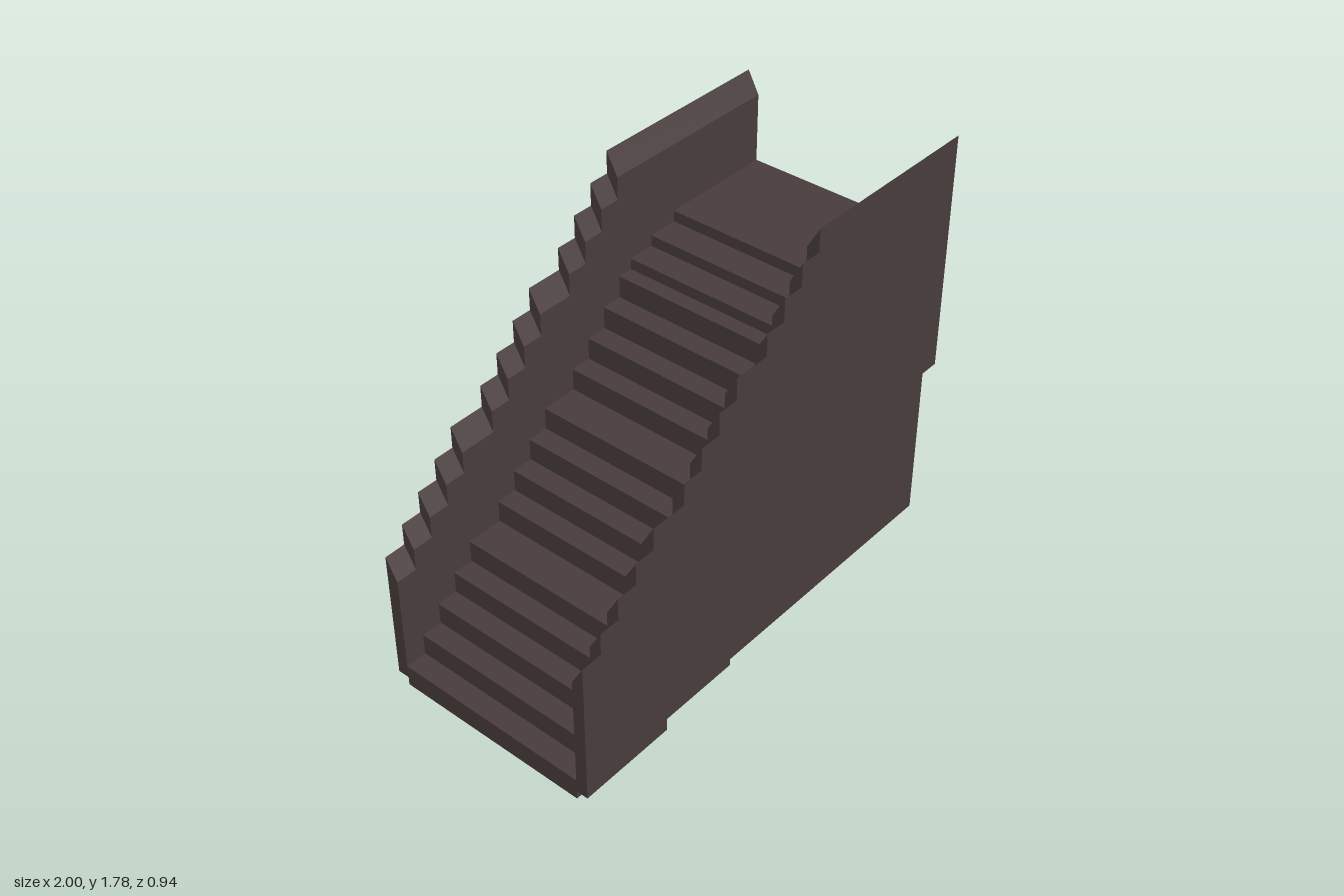
import * as THREE from 'three';

const INNER = 0.422; // half width of the stair core
const OUTER = 0.472; // outer face of the side walls
const RISE = 0.0925;

// x positions of the main risers: three flights of four steps
const RISERS = [];
for (let flight = 0; flight < 3; flight++) {
  for (const dx of [0.09, 0.178, 0.267, 0.355]) RISERS.push(-1 + flight * 0.42 + dx);
}

// Stepped outline climbing from x = -1, starting at height y
function steps(xs, y, rise) {
  const pts = [];
  for (const x of xs) {
    pts.push([x, y], [x, y + rise]);
    y += rise;
  }
  return pts;
}

function extrude(points, depth, z) {
  const shape = new THREE.Shape(points.map(([x, y]) => new THREE.Vector2(x, y)));
  const geo = new THREE.ExtrudeGeometry(shape, { depth, bevelEnabled: false });
  return geo.translate(0, 0, z);
}

// Side wall with a stepped top that slopes down towards the stairs
function wallGeometry(side, startY) {
  const outline = [
    [1, 0.78], [1, startY + 12 * RISE + 0.004],
    ...[[-1, startY], ...steps(RISERS, startY, RISE + 0.0003)].reverse(),
    [-1, 0.037], [-0.58, 0.037], [-0.58, 0.41], [-0.16, 0.41], [-0.16, 0.78],
  ];
  const geo = extrude(outline, OUTER - INNER, side > 0 ? INNER : -OUTER);
  const p = geo.attributes.position;
  for (let i = 0; i < p.count; i++) {
    const isTop = p.getY(i) > Math.min(1.2 + 0.9 * p.getX(i), 1.2);
    if (isTop && Math.abs(p.getZ(i)) < INNER + 0.01) p.setY(i, p.getY(i) - 0.09);
  }
  geo.computeVertexNormals();
  return geo;
}

export function createModel() {
  const group = new THREE.Group();
  const stone = new THREE.MeshStandardMaterial({ color: 0x483c3b });
  stone.name = 'dark brown stone';
  const add = (name, geo) => {
    const mesh = new THREE.Mesh(geo, stone);
    mesh.name = name;
    group.add(mesh);
  };

  // Solid stair core: twelve full steps, three shallow ones, then the landing
  const core = [
    [-1, 0], [-0.58, 0], [-0.58, 0.01], [-0.16, 0.01], [-0.16, 0.04], [1, 0.04], [1, 1.34],
    ...[
      [-1, RISE],
      ...steps(RISERS, RISE, RISE),
      ...steps([0.26, 0.375, 0.505], 13 * RISE, (1.34 - 13 * RISE) / 3),
    ].reverse(),
  ];
  add('stairs', extrude(core, INNER * 2, -INNER));

  // Side walls, the back one a little lower
  add('frontWall', wallGeometry(1, 0.662));
  add('backWall', wallGeometry(-1, 0.6));
  return group;
}
